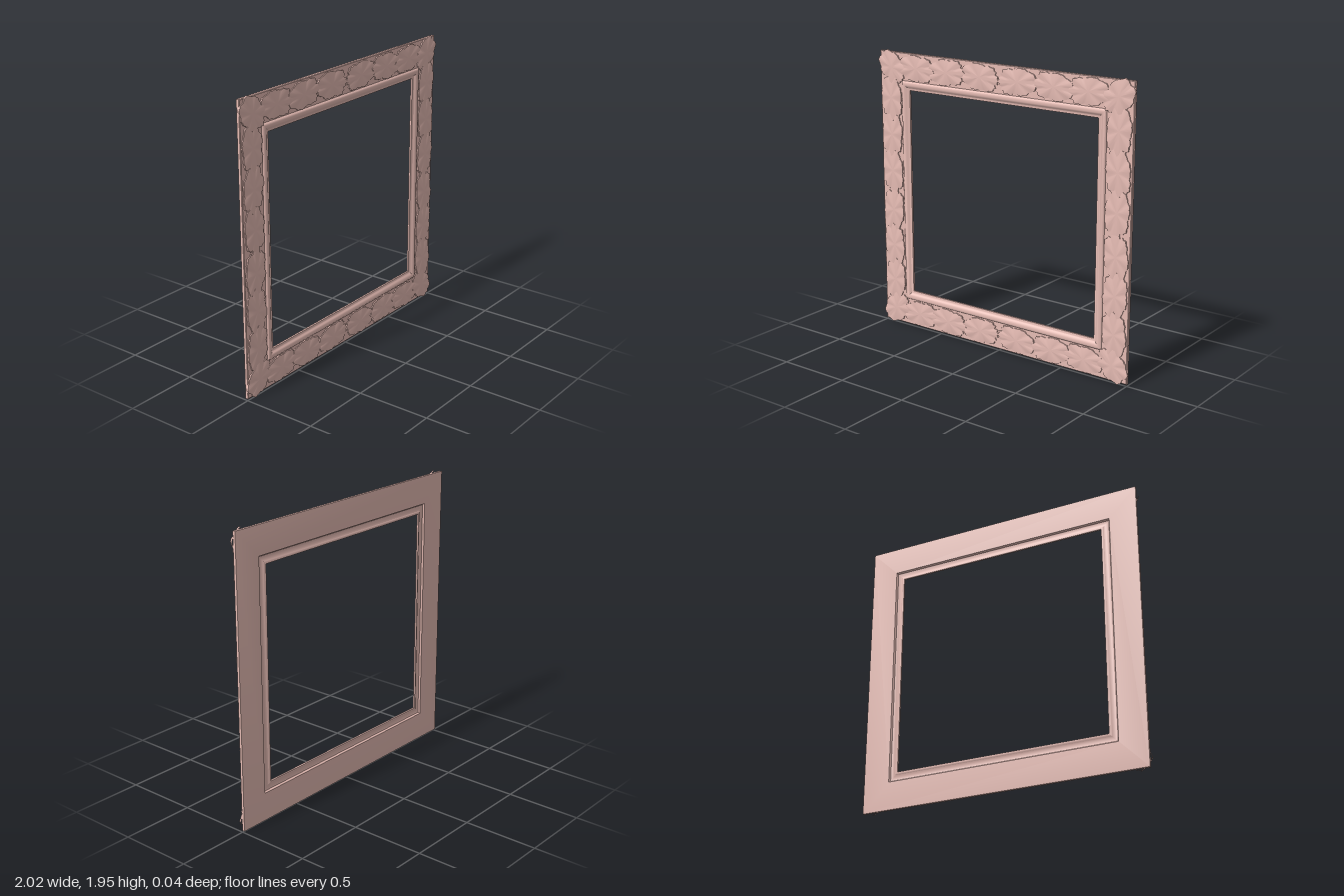
import * as THREE from 'three';
import { toCreasedNormals } from 'three/addons/utils/BufferGeometryUtils.js';

const HALF_W = 1, HALF_H = 0.965;

// Mitred rectangular loop swept from a closed profile of [inset, z] points
function mitredFrame(profile) {
  const corners = [[1, -1], [1, 1], [-1, 1], [-1, -1]];
  const at = ([inset, z], k) => {
    const [sx, sy] = corners[k % 4];
    return [sx * (HALF_W - inset), sy * (HALF_H - inset), z];
  };
  const pos = [];
  profile.forEach((p, i) => {
    const q = profile[(i + 1) % profile.length];
    for (let k = 0; k < 4; k++) {
      const a = at(p, k), b = at(p, k + 1), c = at(q, k + 1), d = at(q, k);
      pos.push(...a, ...b, ...c, ...a, ...c, ...d);
    }
  });
  const geo = new THREE.BufferGeometry();
  geo.setAttribute('position', new THREE.Float32BufferAttribute(pos, 3));
  return toCreasedNormals(geo, 0.6);
}

// Shallow domed leaf: lobed, toothed outline, fanned veins and a cut edge wall
function leafGeometry(length, width) {
  const segs = 88, rings = 5, pos = [], index = [];
  const outline = (a) => {
    const lobe = Math.abs(Math.sin(3.5 * a));
    const tooth = Math.abs(((a * 22) / Math.PI) % 2 - 1);
    const jag = 0.5 - 0.5 * Math.cos(a);
    // a superellipse keeps the leaf broad enough to fill the band
    const base = Math.pow(Math.abs(Math.cos(a)) ** 2.6 + Math.abs(Math.sin(a)) ** 2.6, -1 / 2.6);
    return base * (0.84 + 0.12 * lobe + 0.06 * tooth * (0.4 + jag));
  };
  for (let r = 0; r <= rings + 1; r++) {
    const t = Math.min(r / rings, 1);
    for (let s = 0; s < segs; s++) {
      const a = (s / segs) * Math.PI * 2 - Math.PI;
      const rad = t * outline(Math.abs(a));
      const top = 0.0165 - 0.005 * t * t + 0.002 * t * Math.cos(7 * a + Math.PI);
      pos.push(rad * Math.cos(a) * length / 2, rad * Math.sin(a) * width / 2, r > rings ? 0 : top);
    }
  }
  for (let r = 0; r <= rings; r++) {
    for (let s = 0; s < segs; s++) {
      const n = (s + 1) % segs;
      const a = r * segs + s, b = (r + 1) * segs + s, c = (r + 1) * segs + n, d = r * segs + n;
      index.push(b, c, d);
      if (r > 0) index.push(a, b, d);
      else index[index.length - 1] = a;
    }
  }
  const geo = new THREE.BufferGeometry();
  geo.setAttribute('position', new THREE.Float32BufferAttribute(pos, 3));
  geo.setIndex(index);
  return toCreasedNormals(geo, 0.7);
}

export function createModel() {
  const group = new THREE.Group();
  const pink = new THREE.MeshStandardMaterial({ color: 0xe6bcb4 });

  // Flat outer band
  const band = new THREE.Mesh(mitredFrame([
    [0, -0.017], [0, 0.001], [0.004, 0.004], [0.19, 0.004], [0.19, -0.018], [0.004, -0.018],
  ]), pink);
  band.name = 'frameBand';

  // Rounded inner moulding, hollowed at the back
  const bead = new THREE.Mesh(mitredFrame([
    [0.188, 0.002], [0.192, 0.010], [0.199, 0.015], [0.208, 0.017], [0.218, 0.015],
    [0.228, 0.010], [0.236, 0.003], [0.242, 0.001], [0.252, -0.001],
    [0.252, -0.014], [0.242, -0.014], [0.234, -0.009], [0.222, -0.004],
    [0.208, -0.003], [0.198, -0.006], [0.190, -0.018], [0.188, -0.018],
  ]), pink);
  bead.name = 'innerMoulding';
  group.add(band, bead);

  // Carved leaves in mirrored rows along all four sides
  const leaves = new THREE.Group();
  leaves.name = 'carvedLeaves';
  const addLeaf = (geo, name, x, y, angle) => {
    const leaf = new THREE.Mesh(geo, pink);
    leaf.name = name;
    leaf.position.set(x, y, 0);
    leaf.rotation.z = angle;
    leaves.add(leaf);
  };
  const sideLeaf = leafGeometry(0.3, 0.178);
  const cornerLeaf = leafGeometry(0.25, 0.19);
  for (const sx of [-1, 1]) {
    for (const sy of [-1, 1]) {
      [0.15, 0.425, 0.68].forEach((x, i) => {
        const tilt = sx * sy * (i % 2 ? -0.07 : 0.07);
        addLeaf(sideLeaf, 'rowLeaf', sx * x, sy * 0.868, (sx > 0 ? 0 : Math.PI) + tilt);
      });
      [0.14, 0.395, 0.65].forEach((y, i) => {
        const tilt = sx * sy * (i % 2 ? 0.07 : -0.07);
        addLeaf(sideLeaf, 'sideLeaf', sx * 0.902, sy * y, sy * Math.PI / 2 + tilt);
      });
      addLeaf(cornerLeaf, 'cornerLeaf', sx * 0.895, sy * 0.86, Math.atan2(sy, sx));
    }
  }
  group.add(leaves);

  group.position.y = HALF_H;
  const model = new THREE.Group();
  model.name = 'pictureFrame';
  model.add(group);
  return model;
}
